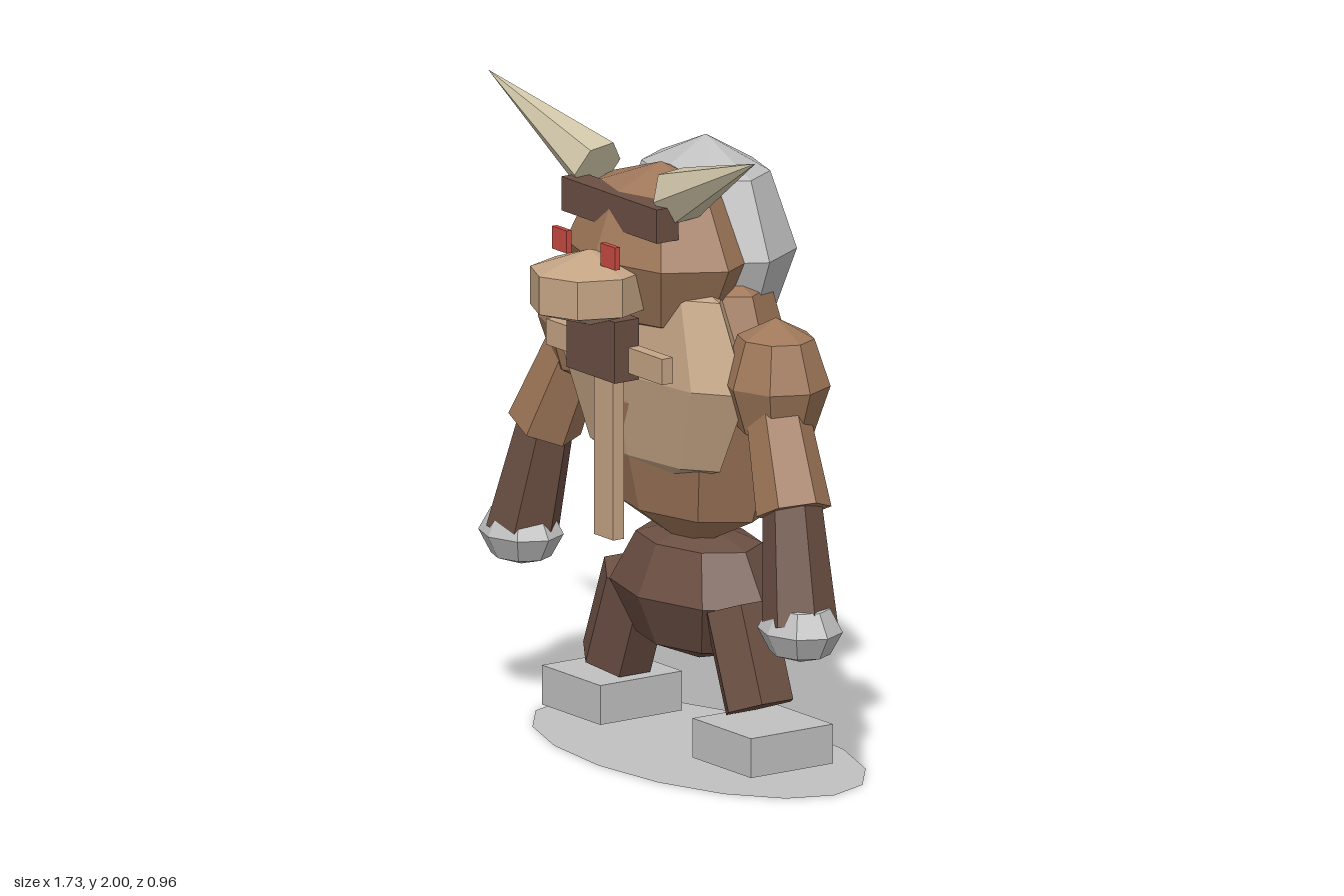
import * as THREE from 'three';

const mat = (name, color, extra = {}) => {
  const m = new THREE.MeshStandardMaterial({ color, flatShading: true, ...extra });
  m.name = name;
  return m;
};

export function createModel() {
  const model = new THREE.Group();
  model.name = 'hornedBeast';

  const fur = mat('brown fur', 0xa0785a);
  const dark = mat('dark brown', 0x6b4f43);
  const tan = mat('tan', 0xc4a484);
  const silver = mat('silver', 0xc0c0c0);
  const horn = mat('horn ivory', 0xd0c5a8);
  const red = mat('red', 0xc84a42);
  const ground = mat('base grey', 0xc0c0c0, { side: THREE.DoubleSide });

  const add = (name, geometry, material, pos) => {
    const mesh = new THREE.Mesh(geometry, material);
    mesh.name = name;
    mesh.position.set(...pos);
    model.add(mesh);
    return mesh;
  };
  // Faceted ellipsoid with given radii
  const blob = (name, material, pos, radii, rings = 4) =>
    add(name, new THREE.SphereGeometry(1, 8, rings).scale(...radii), material, pos);
  const box = (name, material, pos, size) =>
    add(name, new THREE.BoxGeometry(...size), material, pos);
  // Six-sided tapered limb running from a (radius ra) to b (radius rb)
  const limb = (name, material, a, b, ra, rb) => {
    const from = new THREE.Vector3(...a), to = new THREE.Vector3(...b);
    const dir = to.clone().sub(from);
    const mesh = add(name, new THREE.CylinderGeometry(rb, ra, dir.length(), 6), material,
      from.clone().add(to).multiplyScalar(0.5).toArray());
    mesh.quaternion.setFromUnitVectors(new THREE.Vector3(0, 1, 0), dir.normalize());
    return mesh;
  };

  // Base disc, stretched sideways
  add('baseDisc', new THREE.CircleGeometry(1, 16).rotateX(-Math.PI / 2).scale(0.7, 1, 0.37), ground, [0, 0, -0.11]);

  // Trunk
  blob('hips', dark, [0, 0.5, -0.11], [0.34, 0.22, 0.225]);
  blob('torso', fur, [0, 1.12, -0.08], [0.45, 0.495, 0.27]);
  blob('chest', tan, [0, 1.21, 0.05], [0.47, 0.37, 0.15]);
  box('collarBar', tan, [0, 1.28, 0.22], [0.6, 0.08, 0.04]);
  box('frontStrap', tan, [0, 0.953, 0.222], [0.1, 0.495, 0.04]);

  // Head
  blob('head', fur, [0, 1.57, 0.03], [0.35, 0.27, 0.25]);
  blob('hair', silver, [0, 1.57, -0.135], [0.33, 0.33, 0.24]);
  blob('snout', tan, [0, 1.49, 0.295], [0.2, 0.118, 0.213], 3);
  box('beard', dark, [0, 1.31, 0.245], [0.25, 0.19, 0.09]);
  box('headband', dark, [0, 1.717, 0.182], [0.494, 0.105, 0.08]);

  // Mirrored parts
  for (const [side, s] of [['left', 1], ['right', -1]]) {
    box(`${side}Eye`, red, [s * 0.125, 1.613, 0.307], [0.076, 0.07, 0.018]);
    limb(`${side}Horn`, horn, [s * 0.21, 1.79, 0.115], [s * 0.692, 2, 0.175], 0.09, 0);
    blob(`${side}Shoulder`, fur, [s * 0.475, 1.24, -0.055], [0.178, 0.203, 0.158]);
    limb(`${side}UpperArm`, fur, [s * 0.48, 1.24, -0.04], [s * 0.645, 0.885, 0], 0.09, 0.115);
    limb(`${side}Forearm`, dark, [s * 0.637, 0.9, 0], [s * 0.718, 0.55, 0.03], 0.09, 0.115);
    blob(`${side}Fist`, silver, [s * 0.722, 0.54, 0.032], [0.143, 0.1, 0.121]);
    limb(`${side}Leg`, dark, [s * 0.26, 0.497, -0.07], [s * 0.37, 0.21, -0.07], 0.115, 0.115);
    box(`${side}Foot`, silver, [s * 0.39, 0.11, -0.067], [0.302, 0.122, 0.302]);
  }
  return model;
}
